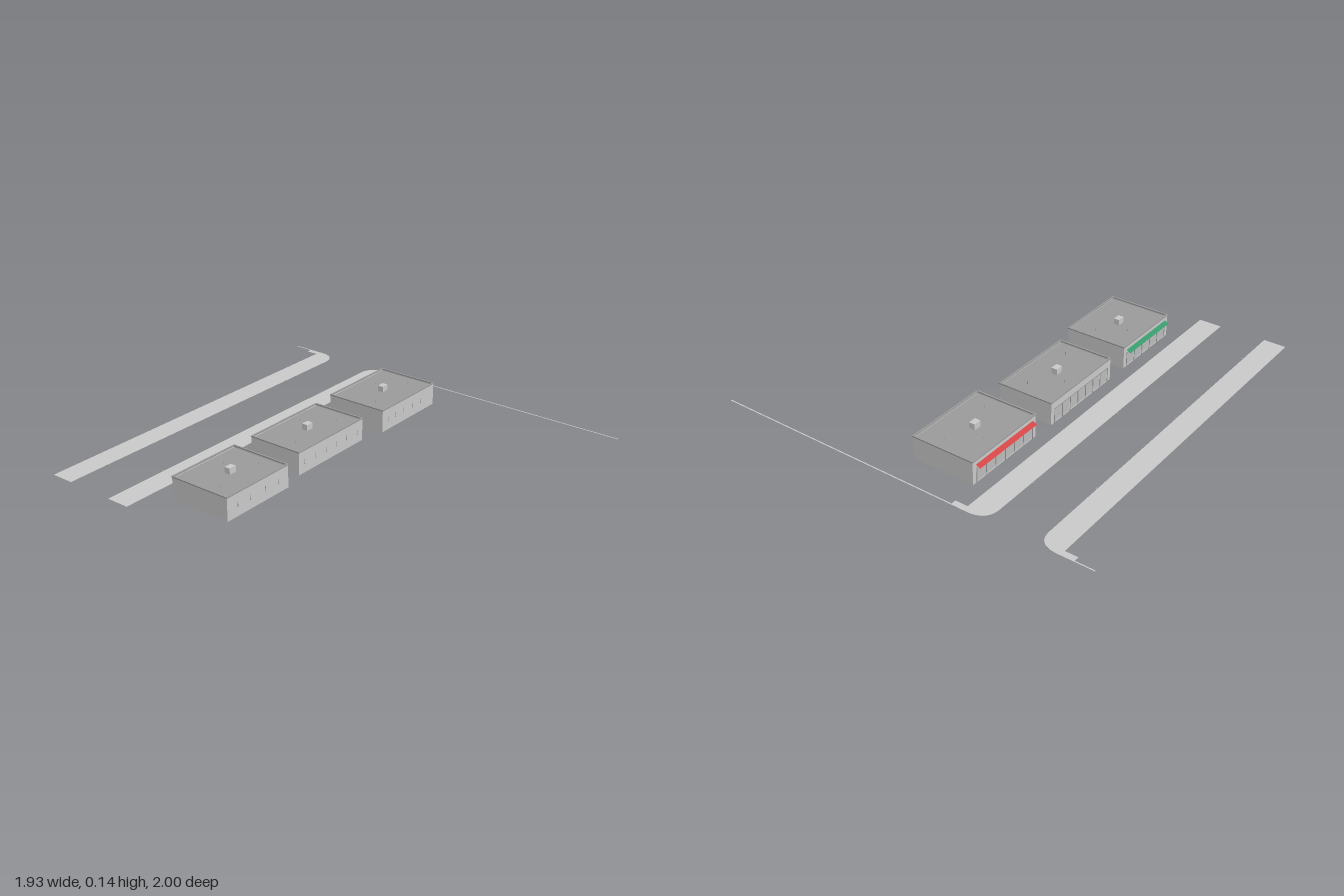
import * as THREE from 'three';

const mat = (name, color, side = THREE.FrontSide) => {
  const m = new THREE.MeshStandardMaterial({ color, side });
  m.name = name;
  return m;
};

export function createModel() {
  const model = new THREE.Group();
  model.name = 'shoppingStreet';
  const M = {
    concrete: mat('light concrete grey', 0xcccccc, THREE.DoubleSide),
    roof: mat('roof grey', 0x9c9c9c, THREE.DoubleSide),
    glass: mat('window grey', 0xbebebe),
    green: mat('green awning', 0x38986c, THREE.DoubleSide),
    red: mat('red awning', 0xd24545, THREE.DoubleSide),
  };

  // Box given by its limits on each axis
  const box = (parent, name, m, x0, x1, y0, y1, z0, z1) => {
    const mesh = new THREE.Mesh(new THREE.BoxGeometry(x1 - x0, y1 - y0, z1 - z0), m);
    mesh.position.set((x0 + x1) / 2, (y0 + y1) / 2, (z0 + z1) / 2);
    mesh.name = name;
    parent.add(mesh);
  };

  // Four upright slabs around a rectangle, open above and below
  const ring = (parent, name, m, x0, x1, y0, y1, z0, z1, t) => {
    box(parent, name + 'Front', m, x0, x1, y0, y1, z1 - t, z1);
    box(parent, name + 'Back', m, x0, x1, y0, y1, z0, z0 + t);
    box(parent, name + 'Right', m, x0, x0 + t, y0, y1, z0 + t, z1 - t);
    box(parent, name + 'Left', m, x1 - t, x1, y0, y1, z0 + t, z1 - t);
  };

  // Sidewalk strip with a rounded street corner; dir is the z direction of the side street
  const sidewalk = (name, zStreet, zInner, zEnd, dir, y) => {
    const s = new THREE.Shape();
    s.moveTo(-0.967, -zStreet);
    s.lineTo(0.874, -zStreet);
    s.quadraticCurveTo(0.96, -zStreet, 0.966, -(zStreet + dir * 0.09));
    s.lineTo(0.966, -zEnd);
    s.lineTo(0.935, -zEnd);
    s.lineTo(0.935, -zInner);
    s.lineTo(-0.967, -zInner);
    const g = new THREE.ExtrudeGeometry(s, { depth: 0.0015, bevelEnabled: false, curveSegments: 10 });
    g.rotateX(-Math.PI / 2);
    const mesh = new THREE.Mesh(g, M.concrete);
    mesh.name = name;
    mesh.position.y = y;
    model.add(mesh);
  };
  sidewalk('nearSidewalk', -0.483, -0.366, -0.302, 1, 0.022);
  sidewalk('farSidewalk', -0.727, -0.842, -0.905, -1, 0.026);

  // Narrow curbs along the side street
  box(model, 'nearCurb', M.concrete, 0.96, 0.966, 0.021, 0.024, -0.302, 1);
  box(model, 'farCurb', M.concrete, 0.96, 0.966, 0.025, 0.028, -1, -0.905);

  // Storm drains in the curbs
  [-0.627, 0.013, 0.653].forEach(x => box(model, 'nearDrain', M.roof, x - 0.007, x + 0.007, 0.021, 0.0235, -0.491, -0.482));
  [-0.745, -0.106, 0.534].forEach(x => box(model, 'farDrain', M.roof, x - 0.007, x + 0.007, 0.025, 0.0275, -0.728, -0.719));

  // One shop: shell, recessed roof, parapet, storefront on -z and service side on +z
  const shop = (name, { x0, x1, z1, base, bays, awning, lamps, unit }) => {
    const g = new THREE.Group();
    g.name = name;
    g.position.y = base;
    model.add(g);
    const z0 = -0.283, h = 0.115, w = x1 - x0;
    ring(g, 'wall', M.concrete, x0, x1, 0, h, z0, z1, 0.004);
    ring(g, 'parapetCap', M.roof, x0 - 0.002, x1 + 0.002, h - 0.003, h + 0.003, z0 - 0.002, z1 + 0.002, 0.008);
    box(g, 'roof', M.roof, x0 + 0.003, x1 - 0.003, h - 0.012, h - 0.009, z0 + 0.003, z1 - 0.003);

    // Rooftop unit and small pipes
    const [ux, uz] = unit;
    box(g, 'rooftopUnit', M.concrete, ux - 0.02, ux + 0.02, h - 0.009, 0.136, uz - 0.015, uz + 0.015);
    [[-0.33, 0.06], [0.1, -0.08], [0.33, 0.05]].forEach(([f, dz]) => {
      const pipe = new THREE.Mesh(new THREE.CylinderGeometry(0.0015, 0.0015, 0.013, 8), M.roof);
      pipe.name = 'roofPipe';
      pipe.position.set(ux + f * w, h - 0.003, uz + dz);
      g.add(pipe);
    });

    // Storefront windows between mullions, under a header
    const a = x0 + 0.025, step = (w - 0.05) / bays;
    for (let i = 0; i < bays; i++)
      box(g, 'shopWindow', M.glass, a + i * step + 0.004, a + (i + 1) * step - 0.004, 0.01, 0.072, z0 - 0.001, z0);
    for (let i = 0; i <= bays; i++)
      box(g, 'mullion', M.roof, a + i * step - 0.0015, a + i * step + 0.0015, 0, 0.073, z0 - 0.002, z0);
    box(g, 'windowHeader', M.roof, a, x1 - 0.025, 0.073, 0.076, z0 - 0.002, z0);

    // Thin awning sheet sloping down toward the street
    if (awning) {
      const sheet = new THREE.PlaneGeometry(w - 0.043, 0.025);
      sheet.rotateX(-Math.PI / 2 - 0.5);
      const mesh = new THREE.Mesh(sheet, awning);
      mesh.name = 'awning';
      mesh.position.set((x0 + x1) / 2, 0.087, z0 - 0.0115);
      g.add(mesh);
    }

    // Slim wall lamps with brackets on the service side, fixed through the wall
    lamps.forEach(x => {
      box(g, 'wallLamp', M.roof, x - 0.0015, x + 0.0015, 0.046, 0.07, z1 - 0.005, z1 + 0.001);
      box(g, 'lampBracket', M.roof, x - 0.004, x + 0.004, 0.044, 0.046, z1 - 0.005, z1 + 0.001);
    });
  };

  shop('greenShop', {
    x0: -0.767, x1: -0.365, z1: 0.04, base: 0, bays: 5, awning: M.green,
    lamps: [-0.7, -0.62, -0.52, -0.43], unit: [-0.567, -0.122],
  });
  shop('middleShop', {
    x0: -0.245, x1: 0.236, z1: 0.004, base: 0, bays: 7, awning: null,
    lamps: [-0.205, -0.125, -0.045, 0.033, 0.113, 0.195], unit: [-0.005, -0.142],
  });
  shop('redShop', {
    x0: 0.354, x1: 0.796, z1: 0.04, base: 0.007, bays: 6, awning: M.red,
    lamps: [0.4, 0.465, 0.533, 0.61, 0.682], unit: [0.577, -0.122],
  });
  return model;
}
